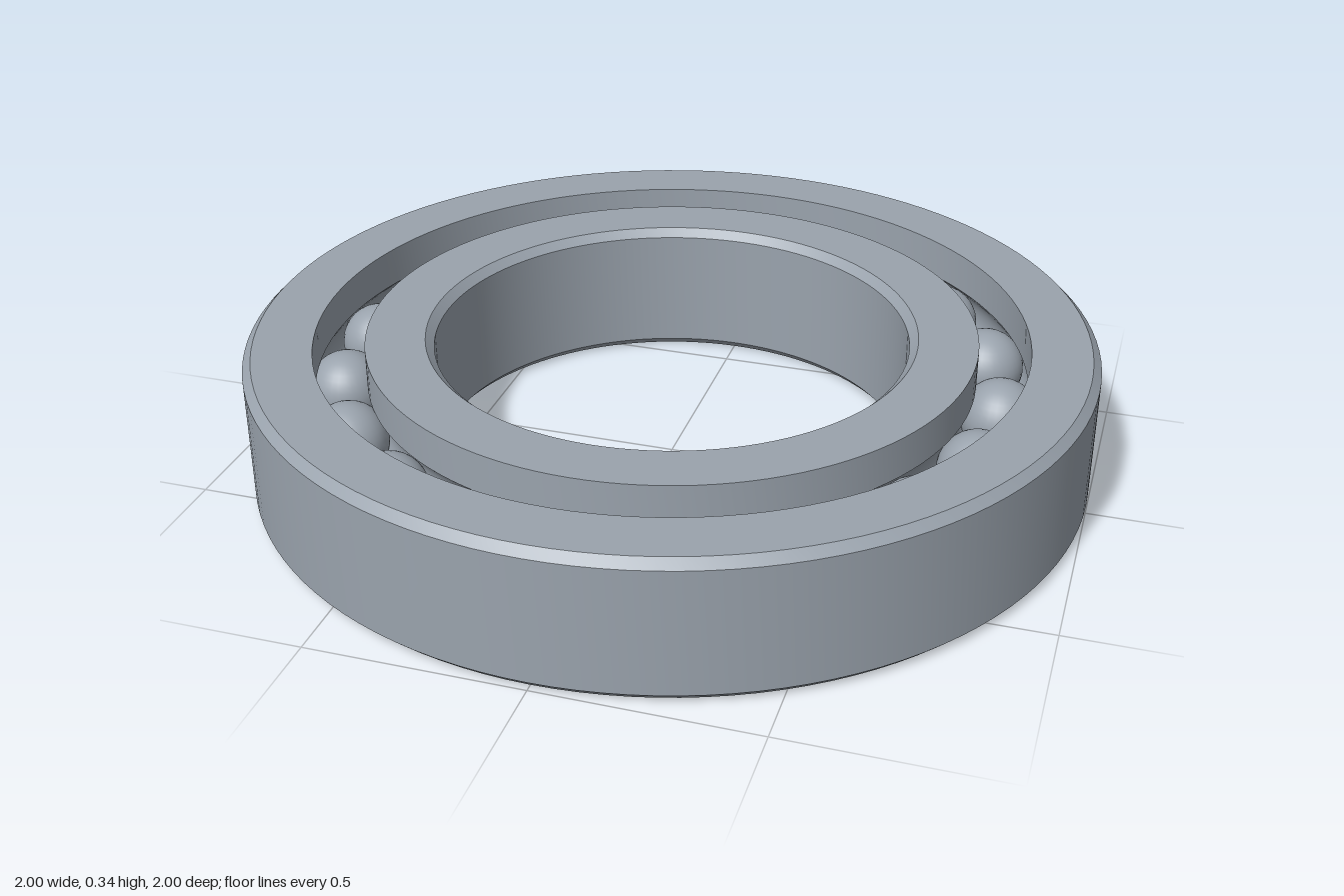
import * as THREE from 'three';
import { toCreasedNormals } from 'three/addons/utils/BufferGeometryUtils.js';

const HEIGHT = 0.337, MID = HEIGHT / 2, CHAMFER = 0.02;
const PITCH = 0.78, HALF_GAP = 0.06;
const BALL_RADIUS = 0.093, BALL_COUNT = 19, BALL_START = 6.9;
const GROOVE_RADIUS = 0.095;

export function createModel() {
  const steel = new THREE.MeshStandardMaterial({ color: 0x9aa3ad });
  steel.name = 'steel';
  const group = new THREE.Group();
  group.name = 'ballBearing';

  // Raceway arc, centred on the ball; start and direction chosen per ring
  const groove = (centreAngle, steps = 12) => {
    const half = Math.acos(HALF_GAP / GROOVE_RADIUS);
    return Array.from({ length: steps + 1 }, (_, i) => {
      // sweeps down on the outer ring (angle 0) and up on the inner ring (angle PI)
      const a = centreAngle + half * (1 - (2 * i) / steps);
      return [PITCH + GROOVE_RADIUS * Math.cos(a), MID + GROOVE_RADIUS * Math.sin(a)];
    });
  };

  // Revolves a closed counterclockwise profile of [radius, height] points
  const addRing = (name, profile) => {
    const points = [...profile, profile[0]].map(([r, y]) => new THREE.Vector2(r, y));
    const geometry = toCreasedNormals(new THREE.LatheGeometry(points, 120), Math.PI / 6);
    const ring = new THREE.Mesh(geometry, steel);
    ring.name = name;
    group.add(ring);
  };

  // Outer ring: chamfered outside, grooved inside
  const outerBore = PITCH + HALF_GAP;
  addRing('outerRing', [
    [1 - CHAMFER, 0], [1, CHAMFER], [1, HEIGHT - CHAMFER], [1 - CHAMFER, HEIGHT],
    [outerBore, HEIGHT], ...groove(0), [outerBore, 0],
  ]);

  // Inner ring: grooved outside, chamfered bore
  const innerRim = PITCH - HALF_GAP, bore = 0.56;
  addRing('innerRing', [
    [innerRim, 0], ...groove(Math.PI), [innerRim, HEIGHT],
    [bore + CHAMFER, HEIGHT], [bore, HEIGHT - CHAMFER], [bore, CHAMFER], [bore + CHAMFER, 0],
  ]);

  // Balls spaced evenly round the raceway
  const balls = new THREE.Group();
  balls.name = 'balls';
  const ballGeometry = new THREE.SphereGeometry(BALL_RADIUS, 32, 20);
  for (let i = 0; i < BALL_COUNT; i++) {
    const a = THREE.MathUtils.degToRad(BALL_START + (360 * i) / BALL_COUNT);
    const ball = new THREE.Mesh(ballGeometry, steel);
    ball.name = `ball${i + 1}`;
    ball.position.set(PITCH * Math.cos(a), MID, -PITCH * Math.sin(a));
    balls.add(ball);
  }
  group.add(balls);
  return group;
}
